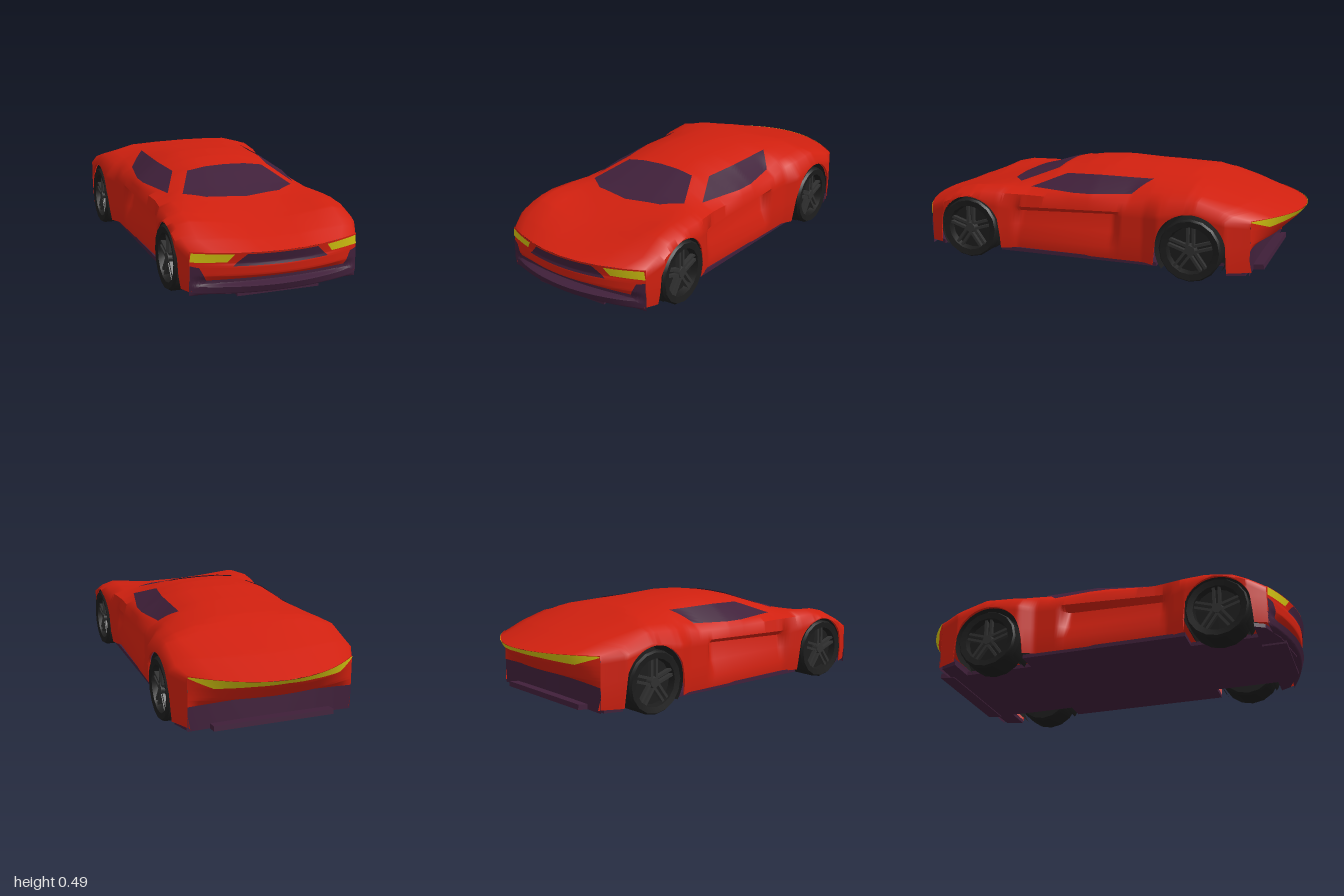
import * as THREE from 'three';
import { toCreasedNormals } from 'three/addons/utils/BufferGeometryUtils.js';

const paint = (color) => new THREE.MeshStandardMaterial({ color, side: THREE.DoubleSide });
const RED = paint(0xd0200f), PURPLE = paint(0x40203a), YELLOW = paint(0xd0c010);
const TYRE = paint(0x1c1c1c), RIM = paint(0x303030);

const { lerp, clamp } = THREE.MathUtils;

// piecewise-linear curve through flat keys [t, value, t, value, ...]
function curve(t, keys) {
  for (let i = 2; i < keys.length; i += 2) {
    if (t <= keys[i] || i === keys.length - 2) {
      const k = clamp((t - keys[i - 2]) / (keys[i] - keys[i - 2]), 0, 1);
      return lerp(keys[i - 1], keys[i + 1], k);
    }
  }
}

// plane whose vertices are moved to rule(s, t)
function sheet(ns, nt, rule, crease = 0.9) {
  const g = new THREE.PlaneGeometry(1, 1, ns, nt);
  const p = g.attributes.position;
  for (let i = 0; i < p.count; i++) p.setXYZ(i, ...rule(p.getX(i) + 0.5, p.getY(i) + 0.5));
  return toCreasedNormals(g, crease);
}

function add(parent, name, geometry, material) {
  const m = new THREE.Mesh(geometry, material);
  m.name = name;
  parent.add(m);
  return m;
}

// wheel positions: centre z, outer x, arch radius
const HUB = 0.155;
const AXLES = [
  { name: 'front', z: 0.655, x: 0.45, arch: 0.166 },
  { name: 'rear', z: -0.525, x: 0.465, arch: 0.178 },
];
function archHeight(z) {
  for (const a of AXLES) {
    const d = Math.abs(z - a.z);
    if (d < a.arch) return HUB + Math.sqrt(a.arch * a.arch - d * d);
  }
  return 0;
}

// half cross-section of the body at station z, from roof centre to sill
function section(z) {
  const y0 = curve(z, [-1, .315, -.8, .375, -.6, .425, -.45, .462, -.25, .482, -.05, .493, .1, .487, .24, .465, .53, .37, .75, .315, .9, .278, 1, .25]);
  const x2 = curve(z, [-1, .2, -.5, .27, -.29, .28, 0, .275, .18, .24, .24, .22, .43, .285, .7, .28, 1, .2]);
  const y2 = curve(z, [-1, .314, -.8, .37, -.5, .443, -.29, .447, 0, .45, .18, .445, .24, .45, .43, .382, .6, .358, .75, .337, .9, .29, 1, .25]);
  const x3 = curve(z, [-1, .3, -.5, .37, -.2, .36, 0, .39, .1, .387, .35, .345, .5, .36, .9, .36, 1, .31]);
  const y3 = curve(z, [-1, .313, -.8, .363, -.5, .415, -.3, .405, -.2, .38, 0, .37, .35, .365, .5, .372, .65, .368, .75, .347, .9, .288, 1, .25]);
  const x4 = curve(z, [-1, .4, -.87, .435, -.6, .43, -.4, .425, -.3, .405, 0, .41, .35, .4, .5, .42, .65, .425, .85, .42, 1, .4]);
  const y4 = curve(z, [-1, .312, -.8, .352, -.55, .392, -.35, .38, -.2, .352, 0, .345, .35, .345, .6, .35, .75, .33, .9, .28, 1, .247]);
  const x5 = curve(z, [-1, .41, -.87, .465, -.36, .465, -.28, .425, 0, .42, .4, .41, .5, .44, .6, .45, .85, .447, 1, .41]);
  const y5 = curve(z, [-1, .3, -.8, .32, -.55, .345, -.3, .31, -.15, .305, .4, .282, .65, .328, .8, .295, 1, .235]);
  const scoop = curve(z, [-.16, 0, -.11, .05, .38, .03, .43, 0]);
  return [[0, y0], [x2 / 2, lerp(y0, y2, 0.15)], [x2, y2], [x3, y3], [x4, y4], [x5, y5],
    [x5 - scoop, y5 - 0.025], [x5 - scoop * 0.7, 0.19], [x5, 0.12], [x5 - 0.01, 0.06]];
}

// the ends of the body sweep back in plan
function sweep(x, z) {
  const f = clamp((z - 0.6) / 0.4, 0, 1) ** 2, r = clamp((-z - 0.55) / 0.45, 0, 1);
  return z - 0.66 * x * x * f + 1.15 * x * x * r;
}

function bodyPoint(s, t) {
  const z = -1 + 2 * s, side = t < 0.5 ? -1 : 1;
  const k = Math.round(Math.abs(t * 2 - 1) * 9);
  let [x, y] = section(z)[k];
  const zz = sweep(x, z);
  if (k > 4) y = Math.max(y, archHeight(zz));
  return [side * x, y, zz];
}

// projections used to lay glass and lamps on the body
function onTop([x, z]) {
  const keys = section(z).slice(0, 6).flat();
  return [x, curve(Math.abs(x), keys) + 0.005, z];
}
const CORNER = 0.41;
function onNose([x, y], lift = 0.004) {
  const z = curve(y, [.045, .9, .055, .975, .09, .99, .1, .94, .115, .94, .14, .985, .185, .99, .2, .985, .25, 1]);
  return [x, y, lerp(z, 0.889, (x / CORNER) ** 2) + lift];
}
function onTail([x, y], lift = 0.003) {
  const z = curve(y, [.045, -.8, .165, -.79, .2, -.89, .268, -.965, .315, -1]);
  return [x, y, lerp(z, -0.807, (x / CORNER) ** 2) - lift];
}

// patch spanned between two point lists and projected on the body
function along(list, s) {
  const f = s * (list.length - 1), i = Math.min(Math.floor(f), list.length - 2);
  return [0, 1].map((c) => lerp(list[i][c], list[i + 1][c], f - i));
}
function patch(a, b, project, n = 24) {
  return sheet(n, 12, (s, t) => {
    const p = along(a, s), q = along(b, s);
    return project([lerp(p[0], q[0], t), lerp(p[1], q[1], t)]);
  });
}

function makeWheel() {
  const wheel = new THREE.Group();
  const profile = [[.03, -.075], [.145, -.075], [.155, -.062], [.155, .062], [.147, .075], [.117, .07], [.11, .035], [0, .035]];
  const tyre = new THREE.LatheGeometry(profile.map(([r, h]) => new THREE.Vector2(r, h)), 16);
  add(wheel, 'tyre', toCreasedNormals(tyre.rotateZ(-Math.PI / 2), 0.5), TYRE);
  const hub = new THREE.CylinderGeometry(0.025, 0.032, 0.03, 10).rotateZ(-Math.PI / 2);
  add(wheel, 'hub', hub, RIM).position.x = 0.05;
  for (let i = 0; i < 5; i++) {
    for (const dz of [-0.014, 0.014]) {
      const bar = new THREE.BoxGeometry(0.022, 0.1, 0.013).translate(0.05, 0.066, dz);
      add(wheel, 'spoke', bar.rotateX((i * Math.PI * 2) / 5), RIM);
    }
  }
  return wheel;
}

export function createModel() {
  const car = new THREE.Group();
  car.name = 'sportsCar';

  // painted shell with swept nose and tail panels
  add(car, 'bodyShell', sheet(160, 18, bodyPoint), RED);
  const across = (project, dir, y0, y1) => sheet(32, 30, (s, t) =>
    project([dir * CORNER * (2 * s - 1), lerp(y0, y1, t)], 0));
  add(car, 'frontBumper', across(onNose, 1, 0.115, 0.25), RED);
  add(car, 'frontSplitter', across(onNose, 1, 0.045, 0.115), PURPLE);
  add(car, 'tailPanel', across(onTail, -1, 0.165, 0.315), RED);
  add(car, 'rearValance', across(onTail, -1, 0.045, 0.165), PURPLE);

  // glass
  add(car, 'windscreen', patch(
    [[-.285, .43], [-.19, .5], [0, .53], [.19, .5], [.285, .43]],
    [[-.2, .25], [-.1, .243], [0, .24], [.1, .243], [.2, .25]], onTop), PURPLE);
  const sideGlass = patch(
    [[.28, -.29], [.28, -.1], [.28, 0], [.255, .18]],
    [[.36, -.2], [.39, 0], [.387, .1], [.335, .35]], onTop);

  // grille, lamps and bumper corners
  add(car, 'grille', patch([[-.23, .187], [.23, .187]], [[-.17, .243], [.17, .243]], onNose), PURPLE);
  const headlight = patch([[.255, .205], [.41, .203]], [[.225, .243], [.405, .245]], onNose);
  const cornerVent = patch([[.335, .11], [.41, .07]], [[.37, .178], [.41, .186]], onNose);
  add(car, 'tailLight', patch(
    [[.41, .306], [.31, .268], [.15, .286], [0, .294], [-.15, .286], [-.31, .268], [-.41, .306]],
    [[.41, .312], [-.41, .312]].flatMap((p, i, l) => (i ? [p] : [p, [.31, .314], [.15, .315], [0, .315], [-.15, .315], [-.31, .314]])),
    onTail, 48), YELLOW);
  for (const side of [1, -1]) {
    add(car, 'sideWindow', sideGlass, PURPLE).scale.x = side;
    add(car, 'headlight', headlight, YELLOW).scale.x = side;
    add(car, 'cornerVent', cornerVent, PURPLE).scale.x = side;
  }

  // floor with wheel cut-outs, keel and diffuser
  const half = [[0, .96], [.25, .92], [.38, .87], [.41, .82], [.29, .82], [.29, .49], [.41, .49], [.41, -.345],
    [.3, -.345], [.3, -.703], [.44, -.703], [.41, -.79], [0, -.8]];
  const outline = [...half, ...half.slice(1, -1).reverse().map(([x, z]) => [-x, z])];
  const floorShape = new THREE.Shape(outline.map(([x, z]) => new THREE.Vector2(x, z)));
  const floor = new THREE.ExtrudeGeometry(floorShape, { depth: 0.02, bevelEnabled: false });
  add(car, 'floor', floor.rotateX(Math.PI / 2), PURPLE).position.y = 0.065;
  add(car, 'keel', new THREE.BoxGeometry(0.4, 0.015, 0.12), PURPLE).position.set(0, 0.043, 0.88);
  const diffuser = add(car, 'diffuser', new THREE.BoxGeometry(0.6, 0.025, 0.08), PURPLE);
  diffuser.position.set(0, 0.058, -0.815);
  diffuser.rotation.x = 0.12;

  // wheels and arch liners
  for (const a of AXLES) {
    for (const side of [1, -1]) {
      const corner = new THREE.Group();
      corner.name = a.name + (side > 0 ? 'LeftWheel' : 'RightWheel');
      corner.position.set(side * (a.x - 0.075), HUB, a.z);
      if (side < 0) corner.rotation.y = Math.PI;
      corner.add(makeWheel());
      const liner = new THREE.CylinderGeometry(a.arch, a.arch, 0.15, 32, 1, true, 2.5, 4.42);
      add(corner, 'archLiner', liner.rotateZ(-Math.PI / 2), TYRE).position.x = -0.015;
      const wall = new THREE.CircleGeometry(a.arch, 32, -0.64, Math.PI + 1.28).rotateY(Math.PI / 2);
      add(corner, 'archWall', wall, TYRE).position.x = -0.09;
      car.add(corner);
    }
  }
  return car;
}
